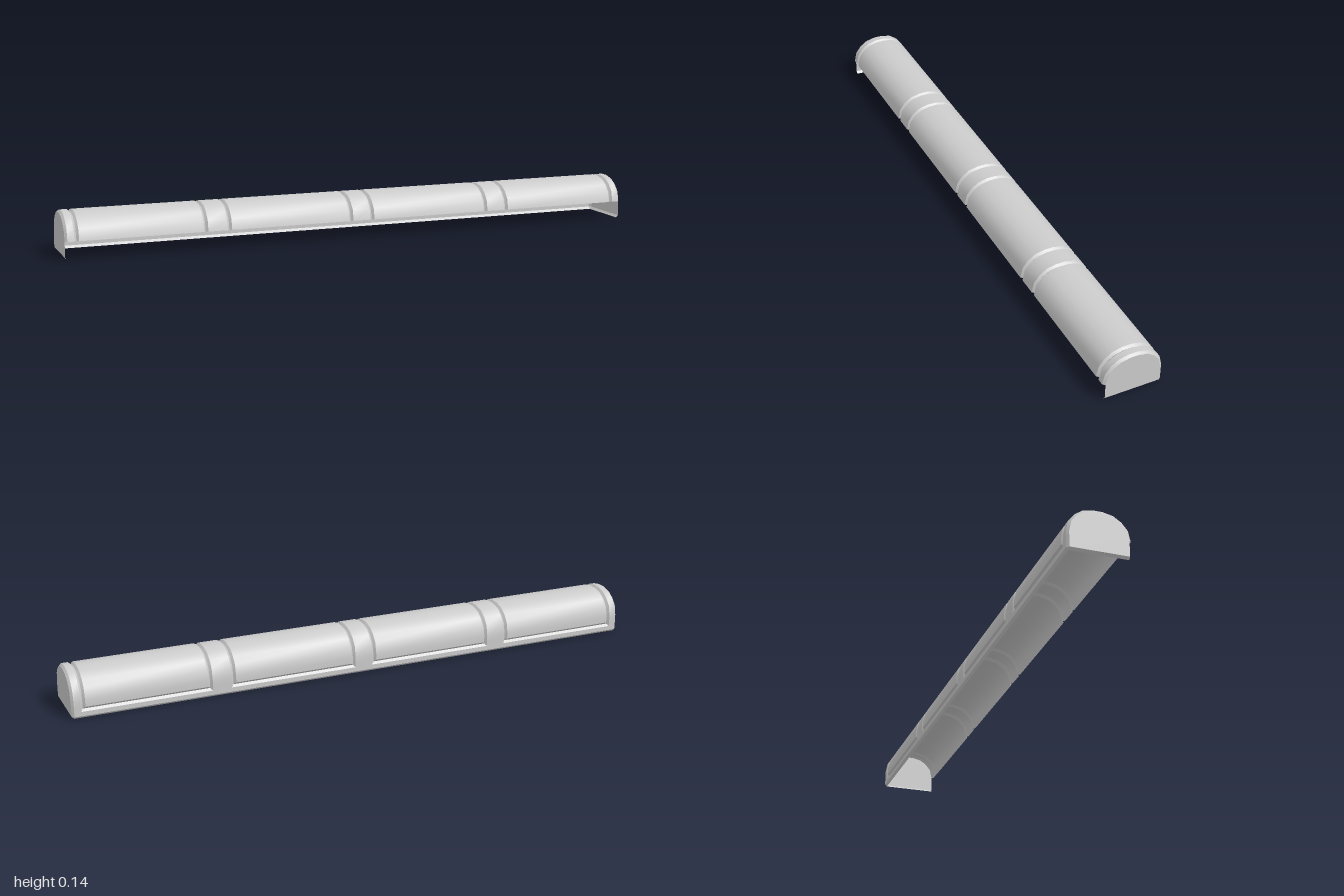
import * as THREE from 'three';
import { toCreasedNormals } from 'three/addons/utils/BufferGeometryUtils.js';

const B = 0.0075; // bevel size and groove depth
const END = 1 - B;

// Section as [z, y]: from the front lip, over the arch, down the back wall
const arch = [[0.1, 0.06], [0.092, 0.096], [0.073, 0.12], [0.048, 0.137], [0.015, 0.1445]];
const GROOVE_ROW = 2 * arch.length + 1;
const section = [
  ...arch,
  ...arch.map(([z, y]) => [-z, y]).reverse(),
  [-0.1, 0.03 + B], [-0.1, 0.03], [-0.1, 0.03 - B], [-0.1, B], [-0.1 + B, 0],
];

// Section point moved inwards by d
function inset([z, y], d) {
  if (y === 0) return [z, y];
  const dy = Math.max(0, y - 0.055), side = y > 0.061 ? dy : 0;
  const len = Math.hypot(z, side);
  return [z - (z / len) * d, y - (side / len) * d];
}

// Groove centre lines on both sides of each panel
const panels = [[-0.963, -0.543], [-0.463, -0.038], [0.038, 0.463], [0.543, 0.963]];

// Thin shell with V-grooves framing the panels and bevelled ends
function shellGeometry() {
  const stations = [-1, -END];
  for (const p of panels) for (const x of p) stations.push(x - B, x, x + B);
  stations.push(END, 1);

  const depth = (x, j) => {
    if (Math.abs(x) === 1) return B;
    const inGroove = panels.some(([a, b]) =>
      ((x === a || x === b) && j <= GROOVE_ROW) || (j === GROOVE_ROW && x >= a && x <= b));
    return inGroove ? B : 0;
  };
  const point = (i, j) => {
    const x = stations[i];
    const [z, y] = inset(section[j], depth(x, j));
    return new THREE.Vector3(x, Math.abs(x) === 1 ? Math.max(y, B) : y, z);
  };

  const pos = [];
  const addTriangle = (a, b, c) => {
    if (new THREE.Triangle(a, b, c).getArea() < 1e-9) return;
    for (const v of [a, b, c]) pos.push(v.x, v.y, v.z);
  };
  for (let i = 0; i < stations.length - 1; i++) {
    for (let j = 0; j < section.length - 1; j++) {
      const a = point(i, j), b = point(i + 1, j), c = point(i + 1, j + 1), d = point(i, j + 1);
      // Run the diagonal along the mitre where grooves meet
      const mitreAC = depth(stations[i], j) !== depth(stations[i + 1], j + 1);
      const mitreBD = depth(stations[i + 1], j) !== depth(stations[i], j + 1);
      if (mitreBD && !mitreAC) {
        addTriangle(a, b, d);
        addTriangle(b, c, d);
      } else {
        addTriangle(a, b, c);
        addTriangle(a, c, d);
      }
    }
  }
  const geo = new THREE.BufferGeometry();
  geo.setAttribute('position', new THREE.Float32BufferAttribute(pos, 3));
  return toCreasedNormals(geo, 0.6);
}

// Flat end wall; side is +1 or -1 along x
function endWallGeometry(side) {
  const outline = section.slice(0, 2 * arch.length).map((p) => inset(p, B));
  const w = 0.1 - B;
  outline.push([-w, B], [w, B]);
  const shape = new THREE.Shape(outline.map(([z, y]) => new THREE.Vector2(-side * z, y)));
  return new THREE.ShapeGeometry(shape).rotateY(side * Math.PI / 2).translate(side, 0, 0);
}

// Sloping strip under an end wall
function endBevelGeometry(side) {
  const w = 0.1 - B;
  return new THREE.PlaneGeometry(2 * w, B * Math.SQRT2)
    .rotateX(Math.PI / 4)
    .rotateY(side * Math.PI / 2)
    .translate(side * (1 - B / 2), B / 2, 0);
}

export function createModel() {
  const group = new THREE.Group();
  group.name = 'archedCover';
  const material = new THREE.MeshStandardMaterial({ color: 0xcccccc, side: THREE.DoubleSide });
  const add = (name, geometry) => {
    const mesh = new THREE.Mesh(geometry, material);
    mesh.name = name;
    group.add(mesh);
  };
  add('panelledShell', shellGeometry());
  for (const [side, label] of [[1, 'left'], [-1, 'right']]) {
    add(label + 'EndWall', endWallGeometry(side));
    add(label + 'EndBevel', endBevelGeometry(side));
  }
  return group;
}
